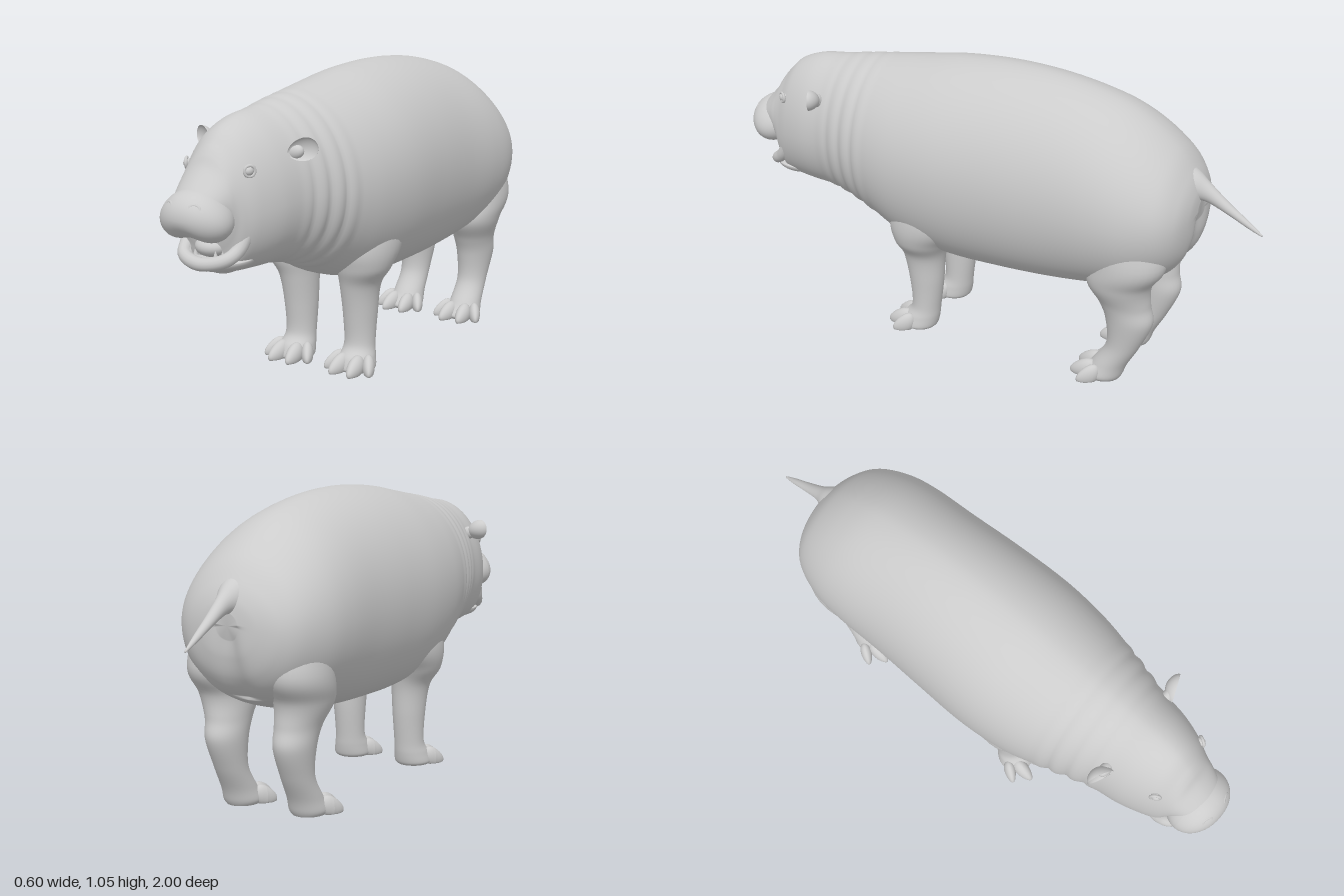
import * as THREE from 'three';

const material = new THREE.MeshStandardMaterial({ color: 0xcccccc, roughness: 0.8 });

function add(group, name, geometry, x = 0, y = 0, z = 0) {
  const mesh = new THREE.Mesh(geometry, material);
  mesh.name = name;
  mesh.position.set(x, y, z);
  group.add(mesh);
  return mesh;
}

// Smoothly interpolate every column of a list of section rows, t in 0..1
function sampleRows(rows, t) {
  const f = t * (rows.length - 1);
  const i = Math.min(Math.floor(f), rows.length - 2);
  const u = f - i;
  const at = (k) => rows[Math.max(0, Math.min(rows.length - 1, k))];
  return rows[i].map((b, c) => {
    const a = at(i - 1)[c], d = at(i + 1)[c], e = at(i + 2)[c];
    return b + 0.5 * u * (d - a + u * (2 * a - 5 * b + 4 * d - e + u * (3 * (b - d) + e - a)));
  });
}

// Skin closed rings over the rows; ring(row, angle) gives a point
function loft(rows, ring, sides, steps) {
  const pos = [], index = [];
  for (let j = 0; j <= steps; j++) {
    const row = sampleRows(rows, j / steps);
    for (let i = 0; i < sides; i++) pos.push(...ring(row, (i / sides) * Math.PI * 2));
  }
  for (let j = 0; j < steps; j++) {
    for (let i = 0; i < sides; i++) {
      const a = j * sides + i, b = j * sides + ((i + 1) % sides);
      index.push(a, b, a + sides, b, b + sides, a + sides);
    }
  }
  // end caps
  for (const j of [0, steps]) {
    const c = [0, 0, 0];
    for (let i = 0; i < sides; i++) for (let k = 0; k < 3; k++) c[k] += pos[(j * sides + i) * 3 + k] / sides;
    const centre = pos.length / 3;
    pos.push(...c);
    for (let i = 0; i < sides; i++) {
      const a = j * sides + i, b = j * sides + ((i + 1) % sides);
      if (j === 0) index.push(centre, b, a); else index.push(centre, a, b);
    }
  }
  const g = new THREE.BufferGeometry();
  g.setAttribute('position', new THREE.Float32BufferAttribute(pos, 3));
  g.setIndex(index);
  g.computeVertexNormals();
  return g;
}

// Sphere reshaped by a rule acting on its unit points
function blob(rule, w = 40, h = 28) {
  const g = new THREE.SphereGeometry(1, w, h);
  const p = g.attributes.position, v = new THREE.Vector3();
  for (let i = 0; i < p.count; i++) {
    rule(v.fromBufferAttribute(p, i));
    p.setXYZ(i, v.x, v.y, v.z);
  }
  g.computeVertexNormals();
  return g;
}
const ellipsoid = (x, y, z) => new THREE.SphereGeometry(1, 24, 16).scale(x, y, z);
const power = (v, p) => Math.sign(v) * Math.abs(v) ** p;

// Section rows along z: z, bottom, top, half width, height of widest point
const bodyRows = [
  [-0.79, 0.61, 0.70, 0.04, 0.66], [-0.782, 0.55, 0.745, 0.11, 0.65], [-0.755, 0.48, 0.80, 0.18, 0.64],
  [-0.70, 0.42, 0.87, 0.235, 0.64], [-0.60, 0.37, 0.945, 0.273, 0.64], [-0.48, 0.34, 1.0, 0.286, 0.65],
  [-0.30, 0.315, 1.04, 0.287, 0.66], [-0.10, 0.305, 1.055, 0.295, 0.67], [0.10, 0.308, 1.045, 0.30, 0.67],
  [0.27, 0.34, 1.02, 0.285, 0.67], [0.40, 0.40, 1.0, 0.255, 0.68], [0.50, 0.44, 0.985, 0.225, 0.69],
  [0.60, 0.458, 0.968, 0.197, 0.69], [0.70, 0.463, 0.955, 0.18, 0.68], [0.78, 0.467, 0.925, 0.155, 0.67],
  [0.83, 0.475, 0.88, 0.132, 0.66], [0.855, 0.55, 0.85, 0.118, 0.68], [0.88, 0.62, 0.81, 0.106, 0.70],
  [0.93, 0.64, 0.755, 0.08, 0.69], [0.96, 0.65, 0.72, 0.04, 0.685],
];
function bodyRing([z, bottom, top, w, mid], a) {
  const c = Math.cos(a), s = Math.sin(a);
  // folds of skin around the neck
  const fade = Math.max(0, 1 - ((z - 0.5) / 0.13) ** 2);
  const fold = 1 + 0.05 * fade * (Math.abs(Math.sin((z - 0.38) * 50)) - 0.5) * (1 - 0.8 * Math.max(0, s));
  // cleft below the tail
  const cleft = z < -0.68 ? 0.02 * Math.exp(-((c * w / 0.035) ** 2)) * (s < 0 ? 1 : 0) : 0;
  const x = w * power(c, s > 0 ? 1.1 : 0.85) * fold;
  const y = mid + (s > 0 ? top - mid : mid - bottom) * s * fold;
  return [x, y, z + cleft];
}
const tailRing = ([z, y, rx, ry], a) => [rx * Math.cos(a), y + ry * Math.sin(a), z];

// Leg rows downwards: y, x, z, half width, half depth
const frontLegRows = [
  [0.62, 0.15, 0.17, 0.08, 0.10], [0.47, 0.155, 0.18, 0.10, 0.14], [0.38, 0.148, 0.205, 0.093, 0.105],
  [0.31, 0.13, 0.205, 0.069, 0.08], [0.20, 0.126, 0.20, 0.059, 0.064], [0.10, 0.126, 0.203, 0.055, 0.054],
  [0.055, 0.128, 0.22, 0.063, 0.066], [0.02, 0.13, 0.23, 0.068, 0.068], [0.008, 0.13, 0.23, 0.058, 0.058],
];
const hindLegRows = [
  [0.70, 0.14, -0.58, 0.08, 0.10], [0.50, 0.15, -0.60, 0.105, 0.13], [0.40, 0.145, -0.565, 0.095, 0.115],
  [0.32, 0.135, -0.585, 0.074, 0.092], [0.25, 0.132, -0.603, 0.066, 0.084], [0.15, 0.13, -0.585, 0.056, 0.06],
  [0.07, 0.13, -0.54, 0.06, 0.062], [0.025, 0.13, -0.515, 0.066, 0.07], [0.008, 0.13, -0.515, 0.056, 0.06],
];

function makeLeg(name, rows, side) {
  const leg = new THREE.Group();
  leg.name = name;
  const ring = ([y, x, z, rx, rz], a) => [side * x + rx * Math.cos(a), y, z + rz * Math.sin(a)];
  add(leg, 'limb', loft(rows, ring, 32, 64));
  const [, x, z] = rows[rows.length - 1];
  // two long middle toes, two short splayed outer toes
  for (const [dx, dz, r, len, turn] of [
    [-0.033, 0.062, 0.026, 0.05, -0.12], [0.033, 0.062, 0.026, 0.05, 0.12],
    [-0.07, 0.03, 0.021, 0.042, -0.6], [0.07, 0.03, 0.021, 0.042, 0.6],
  ]) {
    const toe = blob((v) => {
      const taper = 1 - 0.25 * v.z;
      v.set(v.x * r * taper, Math.max(v.y * 0.036 * taper - 0.012 * v.z, -0.022), v.z * len);
    }, 20, 16);
    add(leg, 'toe', toe, side * x + dx, 0.03, z + dz).rotation.y = turn;
  }
  return leg;
}

function makeHead() {
  const head = new THREE.Group();
  head.name = 'head';
  // Muzzle: wide at the lips, narrower above, raised in the middle below
  add(head, 'muzzle', blob((v) => {
    const lift = v.y < 0 ? 0.022 * Math.exp(-((v.x / 0.35) ** 2)) * -v.y : 0;
    const width = 0.122 - 0.022 * v.y;
    v.set(power(v.x, 0.9) * width, v.y * 0.088 + lift, v.z * 0.095 + v.y * v.z * 0.006);
  }, 48, 32), 0, 0.668, 0.905);
  // Lower jaw with a hollowed top, lip, tongue and teeth
  add(head, 'lowerJaw', blob((v) => {
    v.set(v.x * 0.112, v.y > 0 ? v.y * 0.012 : v.y * 0.042, v.z * 0.115);
  }), 0, 0.517, 0.795);
  const lip = new THREE.CatmullRomCurve3([
    [-0.115, 0.62, 0.80], [-0.104, 0.56, 0.835], [-0.08, 0.53, 0.875], [0, 0.514, 0.898],
    [0.08, 0.53, 0.875], [0.104, 0.56, 0.835], [0.115, 0.62, 0.80],
  ].map((p) => new THREE.Vector3(...p)));
  add(head, 'lowerLip', new THREE.TubeGeometry(lip, 48, 0.022, 14));
  add(head, 'tongue', ellipsoid(0.056, 0.034, 0.05), 0, 0.56, 0.838);
  for (const x of [-0.065, -0.04, 0.04, 0.065]) {
    add(head, 'tooth', new THREE.ConeGeometry(0.008, 0.024, 10), x, 0.546, 0.878 - Math.abs(x) * 0.2);
  }

  for (const side of [-1, 1]) {
    // Eye in a ring of lid
    add(head, 'eye', ellipsoid(0.014, 0.015, 0.017), side * 0.121, 0.803, 0.80);
    const lid = add(head, 'eyelid', new THREE.TorusGeometry(0.017, 0.005, 10, 28), side * 0.125, 0.803, 0.802);
    lid.rotation.y = side * 1.0;
    // Nostril rim
    const nostril = add(head, 'nostril', new THREE.TorusGeometry(0.014, 0.006, 10, 24), side * 0.05, 0.708, 0.975);
    nostril.rotation.set(-0.45, side * 0.4, 0);
    nostril.scale.set(1.15, 0.8, 0.8);
    // Cupped ear on a short root
    const ear = add(head, 'ear', blob((v) => {
      const hollow = v.z > 0 ? -0.35 : 1;
      v.set(v.x * 0.05, v.y * 0.036 * (1 + 0.15 * side * v.x), v.z * 0.028 * hollow + 0.008 * (v.x ** 2 + v.y ** 2));
    }), side * 0.196, 0.85, 0.622);
    ear.rotation.set(0, side * 0.4, side * 0.3);
    const root = add(head, 'earRoot', ellipsoid(0.034, 0.024, 0.02), side * 0.163, 0.838, 0.622);
    root.rotation.z = side * 0.3;
  }
  return head;
}

export function createModel() {
  const model = new THREE.Group();
  model.name = 'hippo';
  add(model, 'body', loft(bodyRows, bodyRing, 72, 190));
  add(model, 'tail', loft([
    [-1.0, 0.61, 0.003, 0.004], [-0.95, 0.64, 0.011, 0.012], [-0.88, 0.682, 0.018, 0.02],
    [-0.81, 0.725, 0.027, 0.034], [-0.77, 0.742, 0.045, 0.05], [-0.72, 0.75, 0.07, 0.07],
  ], tailRing, 24, 40));
  model.add(makeHead());
  for (const [side, word] of [[1, 'left'], [-1, 'right']]) {
    model.add(makeLeg(word + 'FrontLeg', frontLegRows, side));
    model.add(makeLeg(word + 'HindLeg', hindLegRows, side));
  }
  return model;
}
